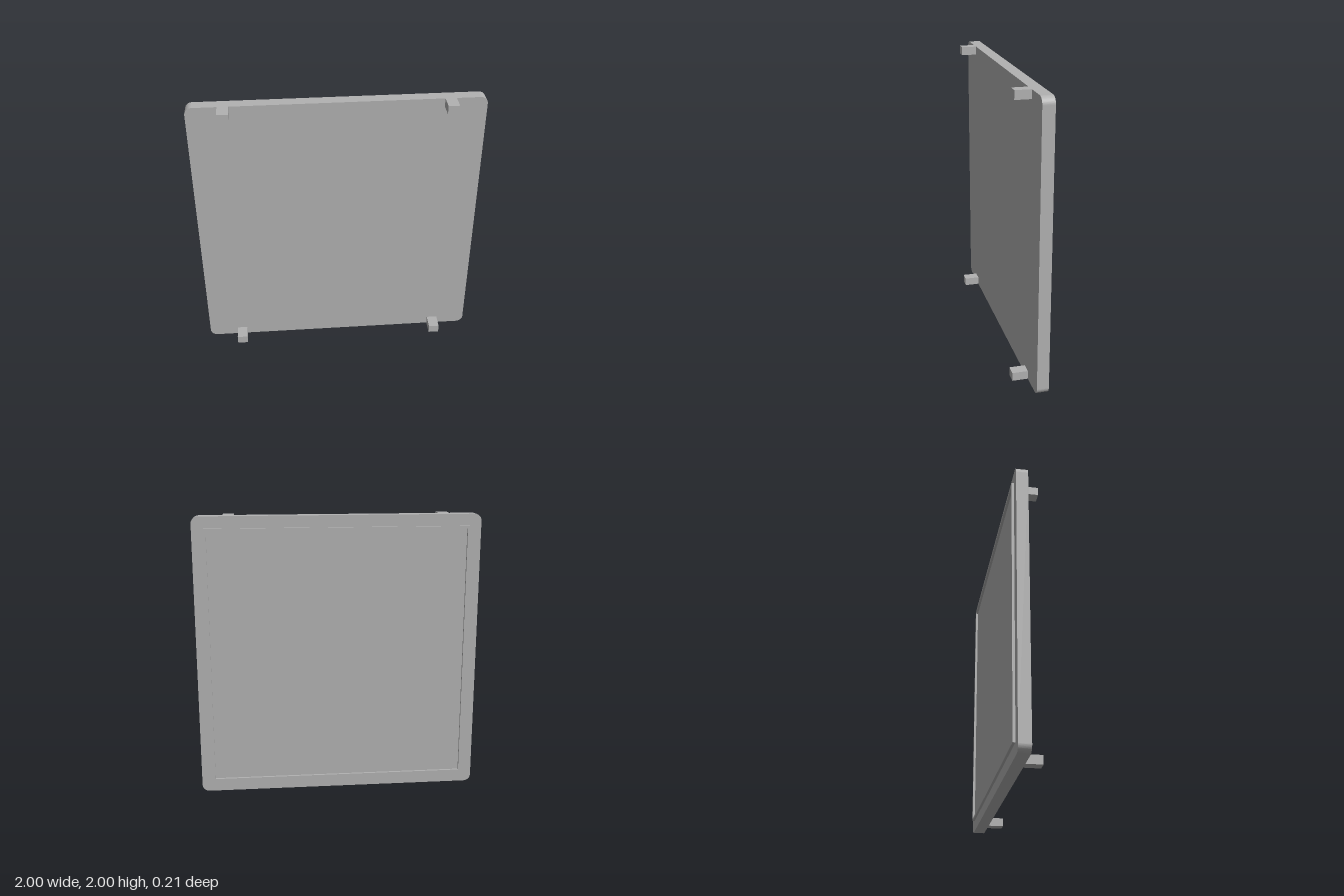
import * as THREE from 'three';

// Rectangle centred on the origin with rounded corners
function roundedSquare(half, r) {
  const s = new THREE.Shape();
  const c = half - r;
  s.absarc(c, c, r, 0, Math.PI / 2);
  s.absarc(-c, c, r, Math.PI / 2, Math.PI);
  s.absarc(-c, -c, r, Math.PI, Math.PI * 1.5);
  s.absarc(c, -c, r, Math.PI * 1.5, Math.PI * 2);
  s.closePath();
  return s;
}

// Square outline with sharp corners
function square(path, half) {
  path.moveTo(-half, -half);
  path.lineTo(half, -half);
  path.lineTo(half, half);
  path.lineTo(-half, half);
  path.closePath();
  return path;
}

export function createModel() {
  const model = new THREE.Group();
  model.name = 'coverPanel';
  const grey = new THREE.MeshStandardMaterial({ color: 0xb2b2b2 });
  grey.name = 'light grey';

  const front = -0.005, back = -0.087, end = 0.104;

  function add(name, geometry, x, y, z) {
    const mesh = new THREE.Mesh(geometry, grey);
    mesh.name = name;
    mesh.position.set(x, y, z);
    model.add(mesh);
  }

  // Main plate with rounded corners
  add('plate', new THREE.ExtrudeGeometry(roundedSquare(1, 0.05), {
    depth: front - back, bevelEnabled: false, curveSegments: 10,
  }), 0, 1, back);

  // Thin raised lip around the back
  const lip = square(new THREE.Shape(), 0.918);
  lip.holes.push(square(new THREE.Path(), 0.902));
  add('backLip', new THREE.ExtrudeGeometry(lip, {
    depth: back + end, bevelEnabled: false,
  }), 0, 1, -end);

  // Four square pegs on the front, flush with the top and bottom edges
  const pegSize = 0.06, pegDepth = end - front;
  const peg = new THREE.BoxGeometry(0.076, pegSize, pegDepth);
  for (const [side, x] of [['left', 0.75], ['right', -0.75]]) {
    for (const [level, y] of [['Top', 2 - pegSize / 2], ['Bottom', pegSize / 2]]) {
      add(`${side}${level}Peg`, peg, x, y, front + pegDepth / 2);
    }
  }
  return model;
}
